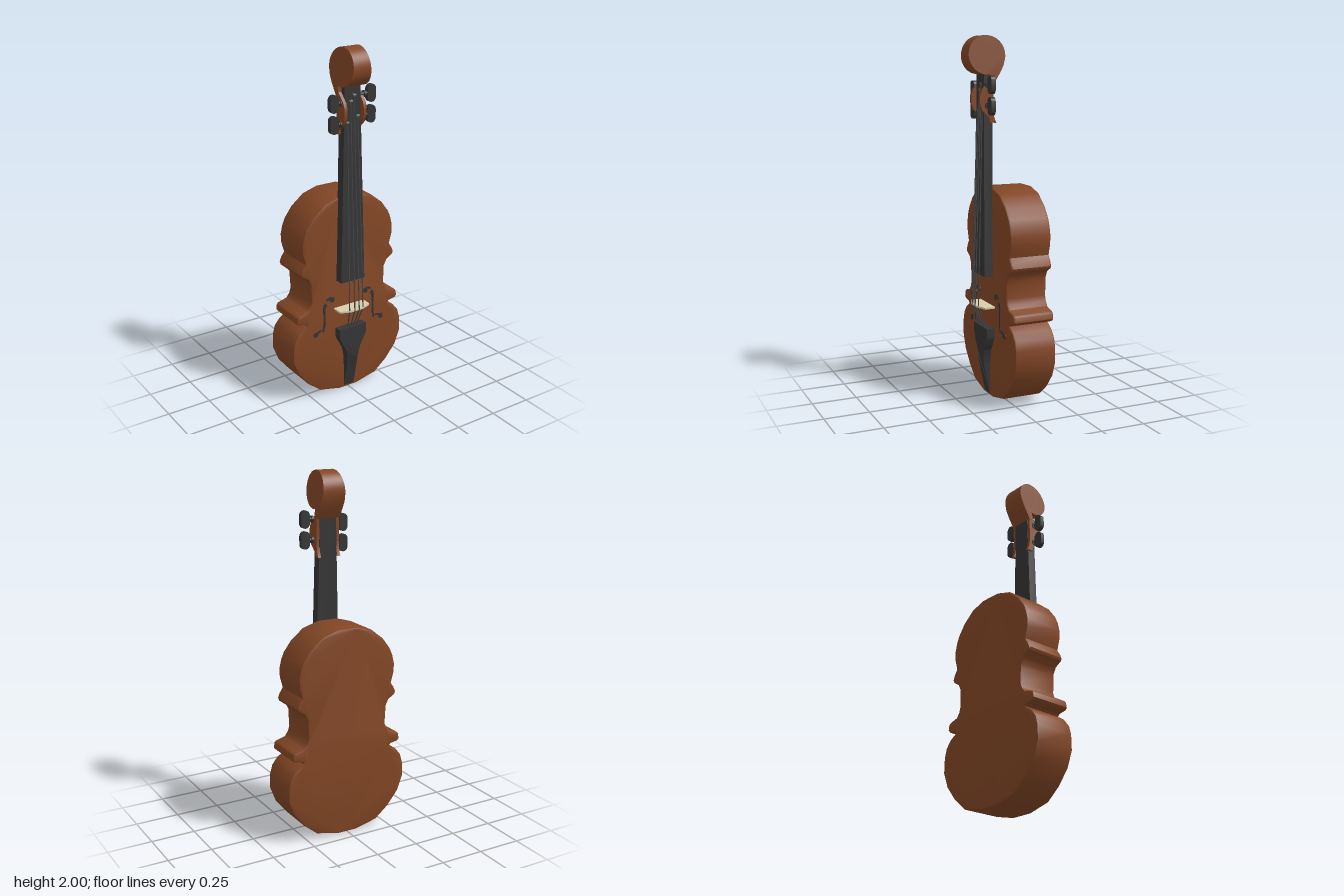
import * as THREE from 'three';
import { toCreasedNormals } from 'three/addons/utils/BufferGeometryUtils.js';

const wood = new THREE.MeshStandardMaterial({ name: 'wood', color: 0x824625 });
const ebony = new THREE.MeshStandardMaterial({ name: 'ebony', color: 0x353535 });
const steel = new THREE.MeshStandardMaterial({ name: 'string steel', color: 0x45484a });
const maple = new THREE.MeshStandardMaterial({ name: 'pale maple', color: 0xd8cdaa });

const MID = -0.006; // slight sideways offset of neck and head

function add(parent, name, geometry, material) {
  const mesh = new THREE.Mesh(geometry, material);
  mesh.name = name;
  parent.add(mesh);
  return mesh;
}

const polygon = (points) => new THREE.Shape(points.map(([x, y]) => new THREE.Vector2(x, y)));
const mirrored = (half) => [...half, ...half.map(([x, y]) => [-x, y]).reverse()];

// Front outline extruded from z0 to z1
function slab(points, z0, z1, bevel = 0) {
  const geo = new THREE.ExtrudeGeometry(polygon(points), {
    depth: z1 - z0 - 2 * bevel, bevelEnabled: bevel > 0, bevelSize: bevel,
    bevelThickness: bevel, bevelOffset: -bevel, bevelSegments: 2,
  });
  geo.translate(0, 0, z0 + bevel);
  return toCreasedNormals(geo, 0.7);
}

// Side profile of [z, y] points extruded from x0 to x1
function sideSlab(points, x0, x1) {
  const geo = new THREE.ExtrudeGeometry(polygon(points.map(([z, y]) => [-z, y])), { depth: x1 - x0, bevelEnabled: false });
  geo.rotateY(Math.PI / 2);
  geo.translate(x0, 0, 0);
  return geo;
}

function moveVertices(geo, rule) {
  const p = geo.attributes.position;
  const v = new THREE.Vector3();
  for (let i = 0; i < p.count; i++) {
    v.fromBufferAttribute(p, i);
    rule(v);
    p.setXYZ(i, v.x, v.y, v.z);
  }
  geo.computeVertexNormals();
  return geo;
}

function rod(parent, name, a, b, radius, material) {
  const path = new THREE.LineCurve3(new THREE.Vector3(...a), new THREE.Vector3(...b));
  return add(parent, name, new THREE.TubeGeometry(path, 1, radius, 6), material);
}

function createBody() {
  const body = new THREE.Group();
  body.name = 'body';
  const half = [
    [0.06, 0.004], [0.19, 0.035], [0.27, 0.1], [0.335, 0.18], [0.368, 0.265], [0.366, 0.35],
    [0.352, 0.4], [0.32, 0.44], [0.275, 0.468], [0.283, 0.478], [0.328, 0.486], [0.34, 0.5],
    [0.335, 0.53], [0.325, 0.54], [0.27, 0.555], [0.252, 0.58], [0.243, 0.61], [0.247, 0.68],
    [0.247, 0.71], [0.265, 0.745], [0.305, 0.77], [0.31, 0.785], [0.3, 0.81], [0.28, 0.84],
    [0.297, 0.9], [0.299, 0.95], [0.287, 1.0], [0.27, 1.04], [0.225, 1.1], [0.15, 1.16], [0.06, 1.187],
  ];
  add(body, 'soundbox', slab(mirrored(half), -0.184, 0.055, 0.012), wood);

  // Sound holes: a tapered slot with a round eye and a hook at each end
  for (const s of [1, -1]) {
    const slot = [[0.155, 0.58], [0.148, 0.565], [0.158, 0.54], [0.157, 0.45], [0.17, 0.4], [0.179, 0.41], [0.17, 0.45], [0.172, 0.55], [0.167, 0.575]];
    add(body, 'soundHoleSlot', slab(slot.map(([x, y]) => [s * x, y]), 0.053, 0.058), ebony);
    for (const [x, y, hx] of [[0.113, 0.59, 0.135], [0.222, 0.4, 0.2]]) {
      const eye = add(body, 'soundHoleEye', new THREE.CylinderGeometry(0.016, 0.016, 0.005, 14), ebony);
      eye.rotation.x = Math.PI / 2;
      eye.position.set(s * x, y, 0.0555);
      const hook = add(body, 'soundHoleHook', new THREE.BoxGeometry(0.03, 0.012, 0.005), ebony);
      hook.position.set(s * hx, y + (hx < x ? 0.014 : 0.01), 0.0555);
      hook.rotation.z = -s * 0.3;
    }
  }
  return body;
}

function createHead() {
  const head = new THREE.Group();
  head.name = 'head';

  // Scroll: round side profile with a tail, widening downwards
  const profile = [];
  for (let i = 0; i <= 36; i++) {
    const a = THREE.MathUtils.degToRad(-100 + i * 290 / 36);
    profile.push([0.08 + 0.103 * Math.cos(a), 1.897 + 0.103 * Math.sin(a)]);
  }
  profile.push([-0.01, 1.84], [0.008, 1.805], [0.03, 1.77], [0.045, 1.745], [0.066, 1.745]);
  const scroll = moveVertices(sideSlab(profile, -1, 1), (v) => {
    v.x *= Math.min(0.071, 0.06 - 0.09 * (v.y - 1.9) - 0.06 * (v.z - 0.08));
  });
  add(head, 'scroll', toCreasedNormals(scroll, 0.6), wood);

  // Pegbox cheeks
  const cheek = [
    [0.066, 1.765], [0.085, 1.745], [0.113, 1.715], [0.125, 1.68], [0.124, 1.64], [0.112, 1.605],
    [0.085, 1.58], [0.07, 1.565], [0.066, 1.54], [0.03, 1.538], [0.042, 1.565], [0.049, 1.61], [0.047, 1.68], [0.045, 1.75],
  ];
  for (const s of [1, -1]) {
    add(head, 'pegboxCheek', toCreasedNormals(sideSlab(cheek, s * 0.06 - 0.009, s * 0.06 + 0.009), 0.6), wood);
  }
  head.position.x = MID;
  return head;
}

function createPeg(side, y) {
  const peg = new THREE.Group();
  peg.name = 'tuningPeg';
  const shaft = add(peg, 'pegShaft', new THREE.CylinderGeometry(0.011, 0.011, 0.1, 12), ebony);
  shaft.rotation.z = Math.PI / 2;
  shaft.position.x = 0.06;
  const collar = add(peg, 'pegCollar', new THREE.CylinderGeometry(0.018, 0.018, 0.012, 14), ebony);
  collar.rotation.z = Math.PI / 2;
  collar.position.x = 0.074;
  const grip = new THREE.Shape();
  grip.absarc(0.117, 0.022, 0.026, 0, Math.PI);
  grip.absarc(0.117, -0.022, 0.026, Math.PI, 2 * Math.PI);
  const geo = new THREE.ExtrudeGeometry(grip, { depth: 0.025, bevelEnabled: false, curveSegments: 8 });
  geo.translate(0, 0, -0.0125);
  add(peg, 'pegGrip', toCreasedNormals(geo, 0.7), ebony);
  peg.position.set(0, y, 0.082);
  peg.rotation.y = side > 0 ? 0 : Math.PI;
  return peg;
}

export function createModel() {
  const model = new THREE.Group();
  model.name = 'violin';
  model.add(createBody(), createHead());

  // Tapered neck and fingerboard
  const neck = moveVertices(new THREE.BoxGeometry(2, 1.1, 0.05), (v) => {
    const t = v.y / 1.1 + 0.5;
    v.x = MID + v.x * THREE.MathUtils.lerp(0.077, 0.048, t);
    v.z += THREE.MathUtils.lerp(0.08, 0.069, t);
    v.y += 1.25;
  });
  add(model, 'fingerboard', neck, ebony);

  for (const [side, y] of [[1, 1.742], [1, 1.63], [-1, 1.712], [-1, 1.6]]) model.add(createPeg(side, y));

  // Bridge with an arched top
  const arch = mirrored([[0.1, 0.05], [0.1, 0.114], [0.07, 0.127], [0.035, 0.138]]);
  const bridge = slab(arch, -0.005, 0.005);
  bridge.rotateX(Math.PI / 2);
  bridge.scale(1, 1, 1);
  add(model, 'bridge', bridge, maple).position.y = 0.53;

  // Tailpiece, thinning towards the bottom
  const tail = mirrored([[0.033, 0.02], [0.034, 0.2], [0.038, 0.235], [0.05, 0.28], [0.07, 0.315], [0.085, 0.345], [0.09, 0.36], [0.09, 0.41]]);
  const tailpiece = moveVertices(slab(tail, 0.05, 0.1), (v) => {
    if (v.z > 0.07) v.z = Math.min(0.1, 0.057 + 0.043 * Math.sin(Math.min(1, (v.y - 0.02) / 0.25) * Math.PI / 2));
  });
  add(model, 'tailpiece', tailpiece, ebony);

  // Strings from the tailpiece over the bridge to the pegs
  const pegEnds = [1.6, 1.712, 1.742, 1.63];
  for (let i = 0; i < 4; i++) {
    const k = i - 1.5;
    const path = [
      [k * 0.018, 0.4, 0.085], [k * 0.03, 0.53, Math.abs(k) > 1 ? 0.131 : 0.138],
      [MID + k * 0.022, 1.54, 0.1], [MID + k * 0.022, pegEnds[i], 0.096],
    ];
    for (let j = 0; j < 3; j++) rod(model, 'string', path[j], path[j + 1], 0.0035, steel);
    const winding = add(model, 'stringWinding', new THREE.CylinderGeometry(0.016, 0.016, 0.02, 12), steel);
    winding.rotation.z = Math.PI / 2;
    winding.position.set(MID + k * 0.022, pegEnds[i], 0.085);
  }
  return model;
}
